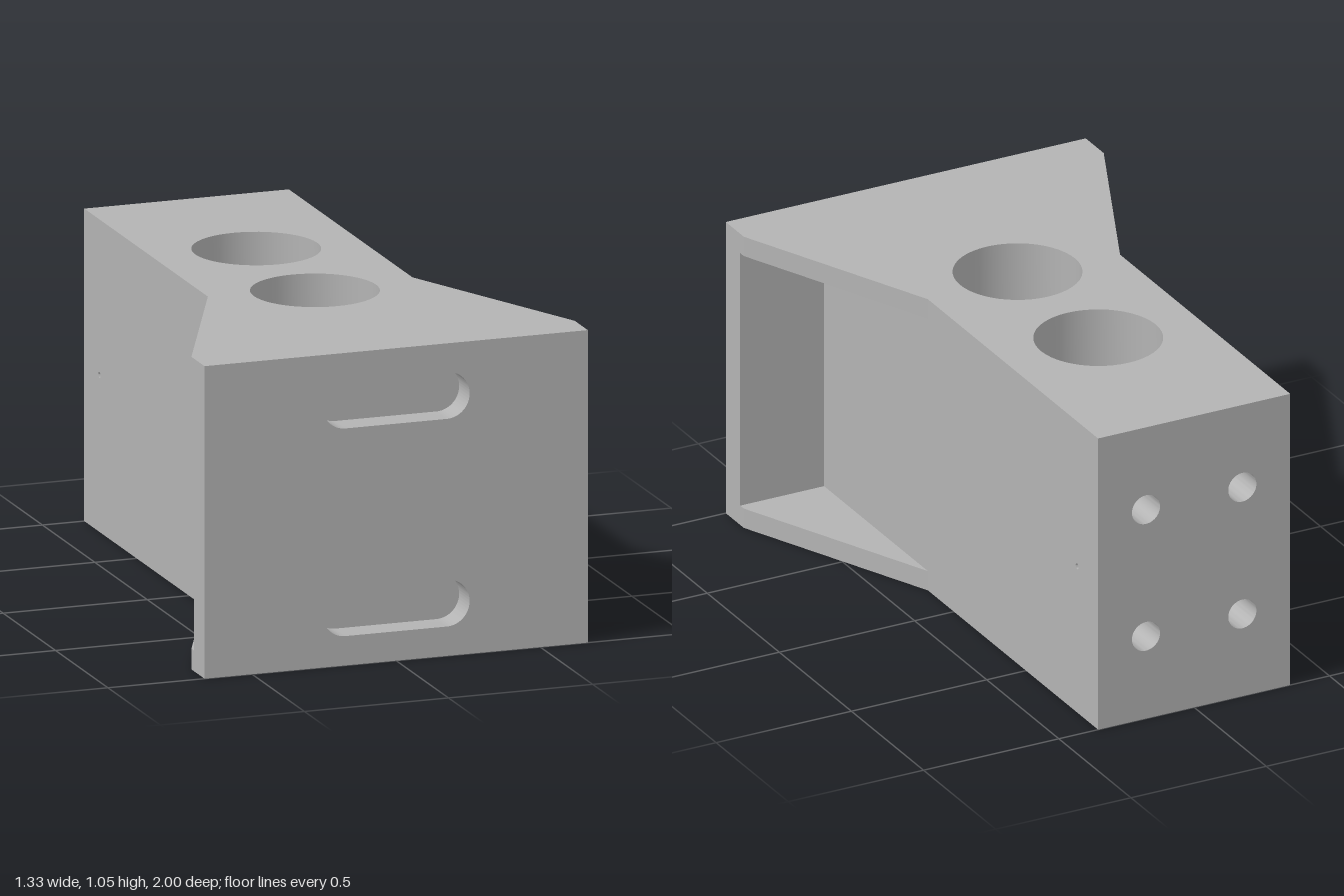
import * as THREE from 'three';
import { toCreasedNormals } from 'three/addons/utils/BufferGeometryUtils.js';

const H = 1.055;       // overall height
const BODY = 0.355;    // half width of the body
const PLATE = 0.665;   // half width of the front plate
const SEAT = 0.9;      // z where plate and body meet
const GUSSET = 0.07;   // thickness of the gussets

const metal = new THREE.MeshStandardMaterial({ color: 0xb3b3b3, side: THREE.DoubleSide });
metal.name = 'grey metal';

function mesh(name, geometry) {
  const m = new THREE.Mesh(geometry, metal);
  m.name = name;
  return m;
}

function polygon(points) {
  return new THREE.Shape(points.map(([x, y]) => new THREE.Vector2(x, y)));
}

function rect(x0, y0, x1, y1) {
  return polygon([[x0, y0], [x1, y0], [x1, y1], [x0, y1]]);
}

function circle(x, y, r) {
  const s = new THREE.Shape();
  s.absarc(x, y, r, 0, Math.PI * 2);
  return s;
}

function slot(y, halfLength, r) {
  const s = new THREE.Shape();
  const c = halfLength - r;
  s.absarc(c, y, r, -Math.PI / 2, Math.PI / 2);
  s.absarc(-c, y, r, Math.PI / 2, Math.PI * 1.5);
  s.closePath();
  return s;
}

// Inward-facing wall of a hole, running from z = 0 to z = -depth
function holeWall(outline, depth) {
  const p = outline.getPoints(24);
  const v = [];
  for (let i = 0; i < p.length - 1; i++) {
    const a = p[i], b = p[i + 1];
    v.push(a.x, a.y, 0, b.x, b.y, 0, a.x, a.y, -depth);
    v.push(b.x, b.y, 0, b.x, b.y, -depth, a.x, a.y, -depth);
  }
  const g = new THREE.BufferGeometry();
  g.setAttribute('position', new THREE.Float32BufferAttribute(v, 3));
  g.computeVertexNormals();
  return toCreasedNormals(g, 0.6);
}

// Flat face of the body with holes; each hole may have a wall and a floor
function panel(name, outline, holes = [], depth = 0, blind = false) {
  const group = new THREE.Group();
  group.name = name;
  outline.holes = holes;
  group.add(mesh(name + 'Face', new THREE.ShapeGeometry(outline, 24)));
  for (const hole of holes) {
    if (depth) group.add(mesh('holeWall', holeWall(hole, depth)));
    if (blind) {
      const floor = mesh('holeFloor', new THREE.ShapeGeometry(hole, 24));
      floor.position.z = -depth;
      group.add(floor);
    }
  }
  return group;
}

export function createModel() {
  const model = new THREE.Group();
  model.name = 'mountingBracket';

  // Body top and bottom, joined by two large vertical bores
  const bores = [-0.335, 0.225];
  const top = panel('bodyTop', rect(-BODY, -SEAT, BODY, 1), bores.map(z => circle(0, -z, 0.212)), H);
  top.rotation.x = -Math.PI / 2;
  top.position.y = H;
  const bottom = panel('bodyBottom', rect(-BODY, -1, BODY, SEAT), bores.map(z => circle(0, z, 0.212)));
  bottom.rotation.x = Math.PI / 2;
  model.add(top, bottom);

  // Body sides, joined by a small cross pin hole
  const left = panel('bodyLeft', rect(-SEAT, 0, 1, H), [circle(0.855, 0.53, 0.01)], BODY * 2);
  left.rotation.y = Math.PI / 2;
  left.position.x = BODY;
  const right = panel('bodyRight', rect(-1, 0, SEAT, H), [circle(-0.855, 0.53, 0.01)]);
  right.rotation.y = -Math.PI / 2;
  right.position.x = -BODY;
  model.add(left, right);

  // Back face with four blind bolt holes
  const boltHoles = [];
  for (const x of [-0.178, 0.178]) {
    for (const y of [0.298, 0.757]) boltHoles.push(circle(x, y, 0.052));
  }
  const back = panel('bodyBack', rect(-BODY, 0, BODY, H), boltHoles, 0.3, true);
  back.rotation.y = Math.PI;
  back.position.z = -1;
  model.add(back);

  // Body front, seen through the slots of the plate
  const front = panel('bodyFront', rect(-BODY, 0, BODY, H));
  front.position.z = SEAT;
  model.add(front);

  // Front plate with two rounded slots
  const plateShape = rect(-PLATE, 0, PLATE, H);
  plateShape.holes = [slot(0.178, 0.255, 0.079), slot(0.879, 0.255, 0.079)];
  const plateGeometry = new THREE.ExtrudeGeometry(plateShape, {
    depth: 1 - SEAT, bevelEnabled: false, curveSegments: 24,
  });
  const plate = mesh('frontPlate', toCreasedNormals(plateGeometry, 0.6));
  plate.position.z = SEAT;
  model.add(plate);

  // Tapered gussets above and below the pocket on each side
  for (const side of [-1, 1]) {
    const outline = polygon([
      [side * BODY, -0.18], [side * PLATE, -0.875],
      [side * PLATE, -SEAT], [side * BODY, -SEAT],
    ]);
    const geometry = new THREE.ExtrudeGeometry(outline, { depth: GUSSET, bevelEnabled: false });
    geometry.rotateX(-Math.PI / 2);
    for (const y of [0, H - GUSSET]) {
      const gusset = mesh((side > 0 ? 'left' : 'right') + (y ? 'UpperGusset' : 'LowerGusset'), geometry);
      gusset.position.y = y;
      model.add(gusset);
    }
  }

  return model;
}
